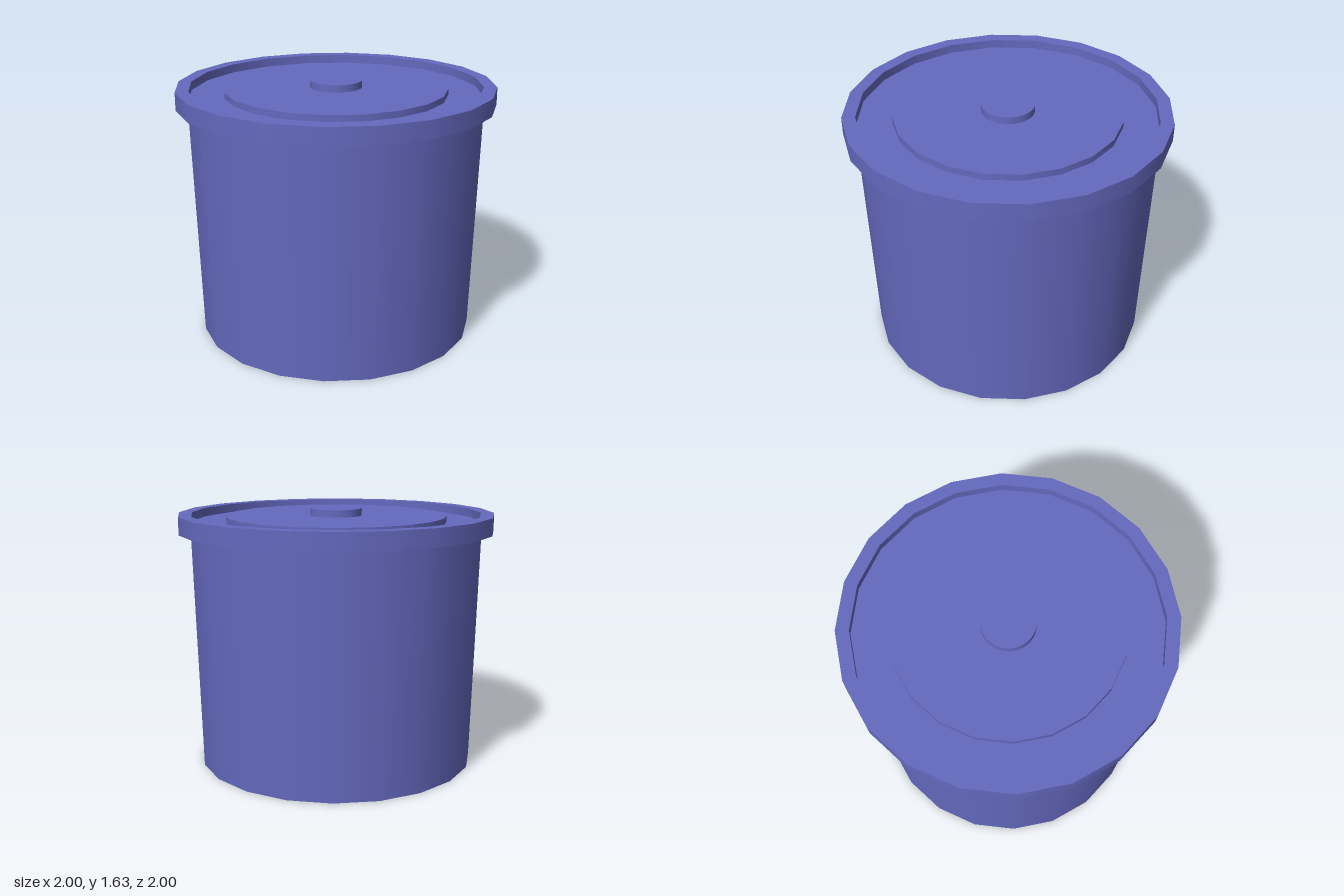
import * as THREE from 'three';
import { mergeGeometries } from 'three/addons/utils/BufferGeometryUtils.js';

const SIDES = 20;
const material = new THREE.MeshStandardMaterial({ color: 0x6469be });

// Turns a profile of [radius, y] points: smooth around, sharp at each corner
function turned(name, profile, sides = SIDES) {
  const bands = profile.slice(1).map((end, i) =>
    new THREE.LatheGeometry(
      [new THREE.Vector2(...profile[i]), new THREE.Vector2(...end)], sides));
  const mesh = new THREE.Mesh(mergeGeometries(bands), material);
  mesh.name = name;
  return mesh;
}

export function createModel() {
  const group = new THREE.Group();
  group.name = 'liddedTub';

  // Tapered tub with closed base
  group.add(turned('tubBody', [[0, 0], [0.885, 0], [0.925, 1.49]]));

  // Lid: overhanging rim, recessed floor and raised centre panel
  const lid = new THREE.Group();
  lid.name = 'lid';
  lid.add(turned('lidRim', [[0.925, 1.49], [1, 1.49], [1, 1.6], [0.918, 1.6], [0.918, 1.545]]));
  lid.add(turned('lidPanel', [[0.918, 1.545], [0.7, 1.545], [0.7, 1.585], [0, 1.585]].map(
    ([r, y]) => [r, y])));

  // Small round knob
  lid.add(turned('lidKnob', [[0.163, 1.585], [0.163, 1.63], [0, 1.63]], 48));
  group.add(lid);
  return group;
}
